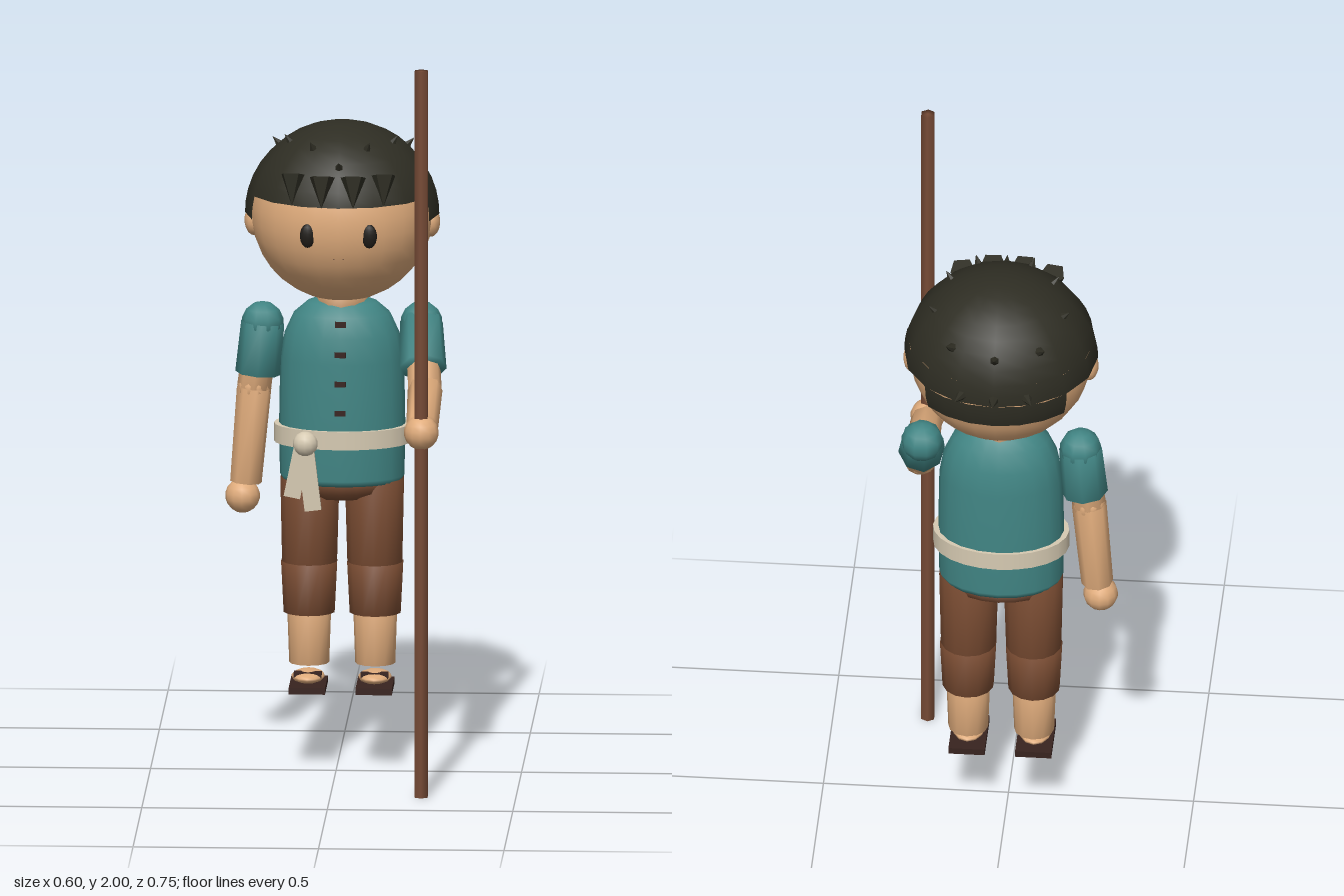
import * as THREE from 'three';
import { mergeVertices } from 'three/addons/utils/BufferGeometryUtils.js';

const CX = 0.0125, CZ = -0.087; // body axis
const V = (x, y, z) => new THREE.Vector3(x, y, z);
const UP = V(0, 1, 0);

export function createModel() {
  const root = new THREE.Group();
  root.name = 'youthWithStaff';

  const paint = (name, color) => {
    const m = new THREE.MeshStandardMaterial({ color });
    m.name = name;
    return m;
  };
  const skin = paint('skin', 0xe0ac7c);
  const hair = paint('hair', 0x2e2d23);
  const teal = paint('tealCloth', 0x418584);
  const brown = paint('brownCloth', 0x7a4c32);
  const wood = paint('wood', 0x774b36);
  const cream = paint('creamCloth', 0xd6cab2);
  const dark = paint('darkLeather', 0x38231f);
  const black = paint('eyeBlack', 0x1f1c18);
  hair.side = THREE.DoubleSide;

  const add = (name, geo, mat, pos, scale) => {
    const m = new THREE.Mesh(geo, mat);
    m.name = name;
    if (pos) m.position.copy(pos);
    if (scale) m.scale.copy(scale);
    root.add(m);
    return m;
  };
  // Share corners so shading rolls softly over the rims
  const weld = (geo) => {
    geo.deleteAttribute('uv');
    geo.deleteAttribute('normal');
    const g = mergeVertices(geo, 1e-4);
    g.computeVertexNormals();
    return g;
  };
  const ball = (name, mat, pos, rx, ry = rx, rz = rx, seg = 12) =>
    add(name, new THREE.SphereGeometry(1, seg, Math.ceil(seg * 0.7)), mat, pos, V(rx, ry, rz));
  // Tapered rod from a to b
  const limb = (name, mat, a, b, ra, rb, sides = 10) => {
    const dir = b.clone().sub(a);
    const geo = weld(new THREE.CylinderGeometry(rb, ra, dir.length(), sides));
    const m = add(name, geo, mat, a.clone().add(b).multiplyScalar(0.5));
    m.quaternion.setFromUnitVectors(UP, dir.normalize());
    return m;
  };
  const cone = (name, pos, dir, r, h, sides) => {
    const m = add(name, new THREE.ConeGeometry(r, h, sides).toNonIndexed(), hair, pos);
    m.geometry.computeVertexNormals();
    m.quaternion.setFromUnitVectors(UP, dir.clone().normalize());
  };
  const lathe = (name, mat, pts, depth, sides = 20) =>
    add(name, new THREE.LatheGeometry(pts.map(([r, y]) => new THREE.Vector2(r, y)), sides),
      mat, V(CX, 0, CZ), V(1, 1, depth));

  // Head, ears and face
  const headY = 1.52;
  ball('head', skin, V(CX, headY, CZ), 0.246, 0.24, 0.236, 24);
  limb('neck', skin, V(CX, 1.24, CZ), V(CX, 1.32, CZ), 0.07, 0.07, 12);
  for (const s of [-1, 1]) {
    ball('ear', skin, V(CX + s * 0.238, 1.495, -0.093), 0.026, 0.042, 0.036);
    ball('eye', black, V(CX + s * 0.083, 1.5, 0.131), 0.021, 0.033, 0.012);
  }
  add('mouth', new THREE.BoxGeometry(0.03, 0.013, 0.01), dark, V(CX, 1.443, 0.127));

  // Hair cap with lower side and back panels
  const hr = V(0.262, 0.25, 0.25), hc = V(CX, headY, -0.09);
  const shell = (name, p0, pl, t0, tl, seg, rows) =>
    add(name, new THREE.SphereGeometry(1, seg, rows, p0, pl, t0, tl), hair, hc, hr);
  shell('hairCap', 0, Math.PI * 2, 0, 1.328, 16, 8);
  shell('hairSides', Math.PI - 0.42, Math.PI + 0.84, 1.328, 0.25, 10, 2);
  shell('hairBack', Math.PI * 1.5 - 0.82, 1.64, 1.578, 0.28, 6, 2);

  // Hair tufts: [x offset, z, radius, height], pointing outward
  const tufts = [[0.12, -0.265, 0.017, 0.045], [0.175, -0.15, 0.013, 0.032],
    [0.14, -0.04, 0.013, 0.032], [0.073, 0.04, 0.013, 0.032],
    [0, 0.1, 0.014, 0.032], [0, -0.305, 0.018, 0.05]];
  for (const [x, z, r, h] of tufts)
    for (const s of x ? [-1, 1] : [1]) {
      const dx = s * x, dz = z - hc.z;
      const dy = 0.25 * Math.sqrt(Math.max(0, 1 - (dx / 0.262) ** 2 - (dz / 0.25) ** 2));
      const d = V(dx, dy, dz);
      cone('hairTuft', hc.clone().add(d).addScaledVector(d, 0.03), d, r, h, 6);
    }
  // Nape tufts
  for (const x of [-0.09, 0, 0.09]) {
    const d = V(x, 0.02, -Math.sqrt(0.0625 - x * x));
    cone('napeTuft', hc.clone().add(d).addScaledVector(d, 0.05), d, 0.018, 0.055, 6);
  }
  // Fringe locks, pointing down
  for (const x of [-0.125, -0.045, 0.04, 0.12]) {
    const z = hc.z + Math.sqrt(0.231 ** 2 - x * x);
    cone('fringeLock', V(CX + x, 1.62, z), V(x * 0.2, -1, 0.3), 0.036, 0.085, 5);
  }

  // Tunic, hips and belt
  lathe('tunic', teal, [[0, 0.785], [0.16, 0.785], [0.168, 0.8], [0.17, 0.95], [0.167, 1.12],
    [0.155, 1.19], [0.13, 1.245], [0.095, 1.275], [0.06, 1.288], [0, 1.29]], 0.7);
  lathe('hips', brown, [[0, 0.735], [0.1, 0.74], [0.14, 0.76], [0.158, 0.8], [0, 0.82]], 0.7);
  lathe('belt', cream, [[0.16, 0.89], [0.184, 0.89], [0.184, 0.89], [0.184, 0.94],
    [0.184, 0.94], [0.16, 0.94]], 0.69, 24);
  ball('beltKnot', cream, V(-0.08, 0.913, 0.066), 0.034, 0.034, 0.03);
  for (const [x, y, len, tilt] of [[-0.102, 0.835, 0.14, -0.2], [-0.069, 0.815, 0.17, 0.12]])
    add('beltTail', new THREE.BoxGeometry(0.045, len, 0.018), cream, V(x, y, 0.066)).rotation.z = tilt;
  for (const [y, z] of [[1.23, 0.011], [1.15, 0.028], [1.07, 0.03], [0.99, 0.032]])
    add('toggle', new THREE.BoxGeometry(0.03, 0.014, 0.014), dark, V(CX, y, z));

  // Arms: shoulder, sleeve hem, elbow, wrist, hand
  const arms = [
    ['right', V(-0.202, 1.215, -0.087), V(-0.213, 1.075, -0.087), V(-0.225, 1.035, -0.087),
      V(-0.247, 0.775, -0.085), V(-0.256, 0.737, -0.085)],
    ['left', V(0.226, 1.218, -0.092), V(0.236, 1.115, 0.012), V(0.242, 1.06, 0.047),
      V(0.246, 1.01, 0.29), V(0.245, 1.003, 0.325)],
  ];
  for (const [side, shoulder, hem, elbow, wrist, hand] of arms) {
    ball(side + 'Shoulder', teal, shoulder, 0.057, 0.057, 0.057, 10);
    limb(side + 'Sleeve', teal, shoulder, hem, 0.058, 0.063, 8);
    limb(side + 'UpperArm', skin, shoulder, elbow, 0.045, 0.046, 8);
    ball(side + 'Elbow', skin, elbow, 0.046, 0.046, 0.046, 10);
    limb(side + 'Forearm', skin, elbow, wrist, 0.047, 0.043, 8);
    ball(side + 'Hand', skin, hand, 0.047);
  }

  // Legs and sandals
  for (const s of [-1, 1]) {
    const at = (y, x = 0.089) => V(CX + s * x, y, CZ);
    limb('thigh', brown, at(0.79, 0.087), at(0.55, 0.088), 0.081, 0.075, 14);
    limb('trouserLeg', brown, at(0.56), at(0.42), 0.077, 0.07, 14);
    limb('shin', skin, at(0.45), at(0.28), 0.06, 0.054, 12);
    const fx = CX + s * 0.09;
    ball('foot', skin, V(fx, 0.25, -0.05), 0.045, 0.017, 0.07);
    add('sole', new THREE.BoxGeometry(0.098, 0.018, 0.16), dark, V(fx, 0.223, -0.052));
    add('sandalStrap', new THREE.BoxGeometry(0.075, 0.014, 0.03), dark, V(fx, 0.258, -0.025));
  }

  // Staff
  limb('staff', wood, V(0.245, 0, 0.328), V(0.245, 2, 0.328), 0.02, 0.02, 6);

  return root;
}
